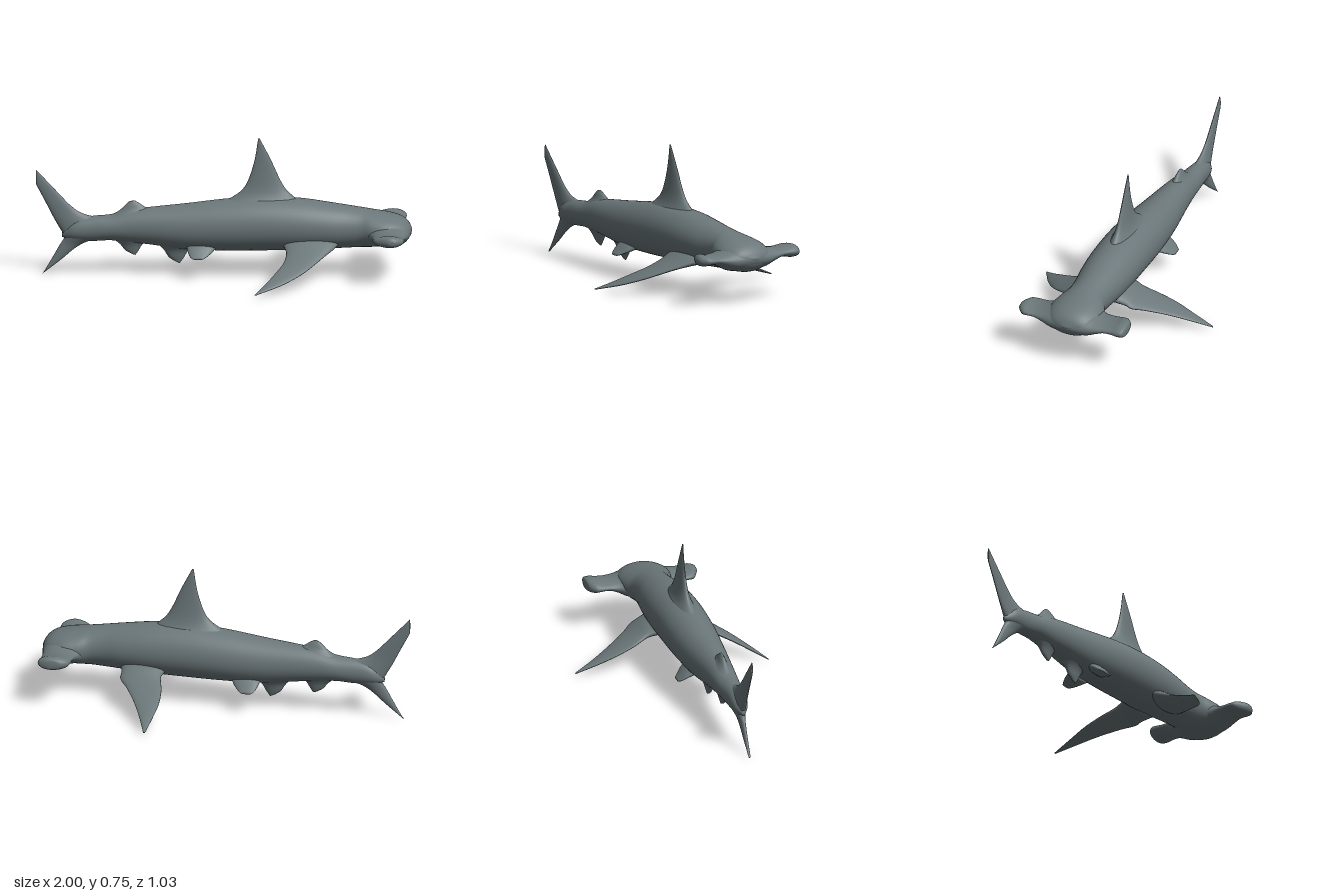
import * as THREE from 'three';

const MID = 0.035; // the animal's centre plane in z

// Smooth skin over elliptical rings [centre, half axis u, half axis v]
function loft(rings, perSpan = 5, sides = 28) {
  const curve = k => new THREE.CatmullRomCurve3(
    rings.map(r => new THREE.Vector3(...r[k])), false, 'catmullrom', 0.5);
  const [C, U, V] = [0, 1, 2].map(curve);
  const n = (rings.length - 1) * perSpan;
  const pos = [], idx = [];
  for (let i = 0; i <= n; i++) {
    const c = C.getPoint(i / n), u = U.getPoint(i / n), v = V.getPoint(i / n);
    for (let j = 0; j < sides; j++) {
      const a = j / sides * Math.PI * 2;
      const p = c.clone().addScaledVector(u, Math.cos(a)).addScaledVector(v, Math.sin(a));
      pos.push(p.x, p.y, p.z);
    }
  }
  for (let i = 0; i < n; i++) for (let j = 0; j < sides; j++) {
    const k = (j + 1) % sides, a = i * sides + j, b = i * sides + k;
    idx.push(a, b, a + sides, b, b + sides, a + sides);
  }
  // end caps
  for (const [i, end] of [[0, false], [n, true]]) {
    const c = C.getPoint(i / n), m = pos.length / 3;
    pos.push(c.x, c.y, c.z);
    for (let j = 0; j < sides; j++) {
      const a = i * sides + j, b = i * sides + (j + 1) % sides;
      idx.push(...(end ? [m, a, b] : [m, b, a]));
    }
  }
  // turn the skin outward if its signed volume is negative
  let vol = 0;
  const P = k => new THREE.Vector3().fromArray(pos, idx[k] * 3);
  for (let k = 0; k < idx.length; k += 3) vol += P(k).dot(P(k + 1).cross(P(k + 2)));
  if (vol < 0) idx.reverse();
  const g = new THREE.BufferGeometry();
  g.setAttribute('position', new THREE.Float32BufferAttribute(pos, 3));
  g.setIndex(idx);
  g.computeVertexNormals();
  return g;
}

// Upright fin in the centre plane: rows of [leadX, leadY, trailX, trailY, half thickness]
const uprightFin = (rows, z = MID) => loft(rows.map(([lx, ly, tx, ty, t]) => [
  [(lx + tx) / 2, (ly + ty) / 2, z], [(lx - tx) / 2, (ly - ty) / 2, 0], [0, 0, t]]));

// Side fin: rows of [z, y, leadX, trailX, half thickness]
const sideFin = rows => loft(rows.map(([z, y, lx, tx, t]) => [
  [(lx + tx) / 2, y, z], [(lx - tx) / 2, 0, 0], [0, t, 0]]));

export function createModel() {
  const model = new THREE.Group();
  const skin = new THREE.MeshStandardMaterial({ color: 0x6b777a });
  skin.name = 'slate grey skin';
  const add = (name, geometry) => {
    const mesh = new THREE.Mesh(geometry, skin);
    mesh.name = name;
    model.add(mesh);
  };

  // Body: x, top, bottom, half width
  add('body', loft([
    [-0.86, 0.235, 0.21, 0.01], [-0.8, 0.30, 0.195, 0.042], [-0.7, 0.325, 0.19, 0.052],
    [-0.6, 0.335, 0.195, 0.064], [-0.5, 0.36, 0.185, 0.073], [-0.4, 0.375, 0.175, 0.085],
    [-0.2, 0.397, 0.15, 0.11], [0, 0.422, 0.145, 0.128], [0.2, 0.438, 0.147, 0.135],
    [0.4, 0.43, 0.152, 0.135], [0.55, 0.41, 0.16, 0.125], [0.65, 0.395, 0.165, 0.112],
    [0.73, 0.382, 0.17, 0.113], [0.79, 0.37, 0.173, 0.135], [0.87, 0.355, 0.177, 0.15],
    [0.94, 0.335, 0.185, 0.13], [0.98, 0.305, 0.215, 0.09], [1, 0.268, 0.256, 0.02],
  ].map(([x, t, b, w]) => [[x, (t + b) / 2, MID], [0, (t - b) / 2, 0], [0, 0, w]]), 4, 40));

  // Hammer head: z, back x, front x, bottom, top
  add('hammerHead', loft([
    [-0.283, 0.89, 0.92, 0.25, 0.28], [-0.274, 0.835, 0.957, 0.235, 0.296],
    [-0.245, 0.80, 0.965, 0.229, 0.301], [-0.21, 0.795, 0.962, 0.235, 0.294],
    [-0.165, 0.795, 0.963, 0.235, 0.29], [-0.115, 0.785, 0.972, 0.215, 0.297],
    [-0.06, 0.75, 0.985, 0.19, 0.315], [MID, 0.70, 1.0, 0.18, 0.338],
    [0.13, 0.75, 0.985, 0.19, 0.315], [0.185, 0.785, 0.972, 0.215, 0.297],
    [0.235, 0.795, 0.963, 0.235, 0.288], [0.275, 0.797, 0.965, 0.237, 0.29],
    [0.305, 0.81, 0.96, 0.233, 0.296], [0.33, 0.855, 0.935, 0.24, 0.29],
    [0.341, 0.88, 0.915, 0.255, 0.275],
  ].map(([z, x0, x1, y0, y1]) =>
    [[(x0 + x1) / 2, (y0 + y1) / 2, z], [(x1 - x0) / 2, 0, 0], [0, (y1 - y0) / 2, 0]])));

  // Fins on the centre plane
  add('dorsalFin', uprightFin([
    [0.42, 0.39, -0.04, 0.39, 0.075], [0.375, 0.437, 0.045, 0.437, 0.045],
    [0.33, 0.48, 0.10, 0.48, 0.03], [0.295, 0.54, 0.133, 0.54, 0.02],
    [0.25, 0.64, 0.163, 0.64, 0.011], [0.19, 0.758, 0.182, 0.758, 0.003]]));
  add('secondDorsalFin', uprightFin([
    [-0.36, 0.34, -0.62, 0.32, 0.05], [-0.415, 0.375, -0.56, 0.355, 0.025],
    [-0.445, 0.395, -0.525, 0.388, 0.014], [-0.475, 0.413, -0.505, 0.407, 0.005]]));
  add('analFin', uprightFin([
    [-0.40, 0.21, -0.60, 0.21, 0.04], [-0.435, 0.17, -0.555, 0.175, 0.022],
    [-0.455, 0.137, -0.525, 0.14, 0.012], [-0.47, 0.114, -0.495, 0.122, 0.005]]));
  add('lowerFin', uprightFin([
    [-0.15, 0.18, -0.37, 0.19, 0.05], [-0.19, 0.14, -0.325, 0.15, 0.026],
    [-0.212, 0.103, -0.295, 0.105, 0.014], [-0.235, 0.07, -0.268, 0.085, 0.005]]));

  // Forked tail
  add('upperTailLobe', uprightFin([
    [-0.62, 0.31, -0.845, 0.215, 0.04], [-0.74, 0.336, -0.865, 0.245, 0.026],
    [-0.81, 0.378, -0.905, 0.315, 0.016], [-0.9, 0.472, -0.953, 0.41, 0.011],
    [-1, 0.58, -1, 0.50, 0.006]]));
  add('lowerTailLobe', uprightFin([
    [-0.62, 0.21, -0.845, 0.23, 0.04], [-0.72, 0.188, -0.852, 0.2, 0.026],
    [-0.79, 0.15, -0.87, 0.172, 0.016], [-0.87, 0.082, -0.908, 0.104, 0.011],
    [-0.964, 0.008, -0.958, 0.016, 0.006]]));

  // Swept pectoral fins, the two held at different angles
  add('leftPectoralFin', sideFin([
    [0.08, 0.215, 0.63, 0.30, 0.05], [0.155, 0.19, 0.59, 0.325, 0.035],
    [0.21, 0.168, 0.55, 0.335, 0.024], [0.28, 0.137, 0.495, 0.322, 0.017],
    [0.36, 0.10, 0.425, 0.28, 0.013], [0.44, 0.06, 0.32, 0.228, 0.009],
    [0.513, 0.024, 0.185, 0.175, 0.003]]));
  add('rightPectoralFin', sideFin([
    [-0.01, 0.215, 0.57, 0.30, 0.05], [-0.1, 0.187, 0.545, 0.325, 0.035],
    [-0.145, 0.167, 0.54, 0.318, 0.026], [-0.2, 0.144, 0.495, 0.302, 0.019],
    [-0.3, 0.106, 0.43, 0.292, 0.014], [-0.41, 0.064, 0.373, 0.302, 0.01],
    [-0.52, 0.025, 0.326, 0.316, 0.003]]));

  // Small pelvic fins
  for (const [name, s] of [['leftPelvicFin', 1], ['rightPelvicFin', -1]]) {
    add(name, sideFin([
      [0.05, 0.185, -0.03, -0.2, 0.035], [0.095, 0.158, -0.06, -0.19, 0.022],
      [0.12, 0.14, -0.085, -0.18, 0.013], [0.138, 0.129, -0.105, -0.165, 0.005],
    ].map(([d, ...rest]) => [MID + s * d, ...rest])));
  }
  return model;
}
